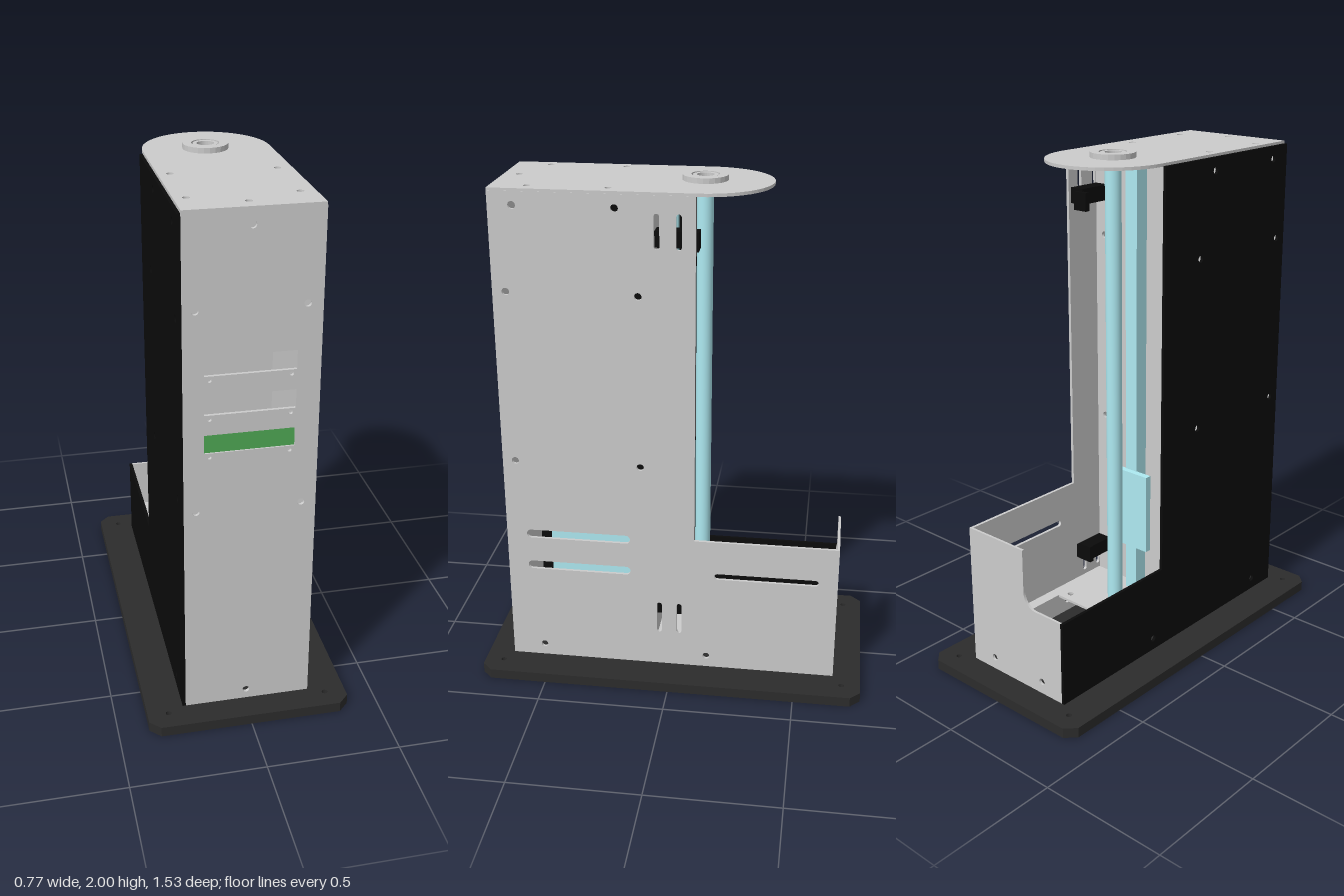
import * as THREE from 'three';

const mat = (color) => new THREE.MeshStandardMaterial({ color });
const GREY = mat(0xcccccc), DARK = mat(0x2c2c2c), BLACK = mat(0x0b0b0b);
const CYAN = mat(0xaeeaf2), GREEN = mat(0x4fa854);

// Hole helpers, in shape coordinates
function hole(x, y, r = 0.013) {
  return new THREE.Path().absarc(x, y, r, 0, Math.PI * 2);
}
function slot(x0, x1, y0, y1) {
  const p = new THREE.Path();
  const r = Math.min(x1 - x0, y1 - y0) / 2;
  if (x1 - x0 > y1 - y0) {
    p.absarc(x1 - r, y0 + r, r, -Math.PI / 2, Math.PI / 2);
    p.absarc(x0 + r, y0 + r, r, Math.PI / 2, Math.PI * 1.5);
  } else {
    p.absarc(x0 + r, y1 - r, r, 0, Math.PI);
    p.absarc(x0 + r, y0 + r, r, Math.PI, Math.PI * 2);
  }
  return p.closePath();
}
const poly = (pts) => pts.map(([x, y]) => new THREE.Vector2(x, y));
const rect = (x0, x1, y0, y1) => poly([[x0, y0], [x1, y0], [x1, y1], [x0, y1]]);
const path = (pts) => new THREE.Path(pts);

export function createModel() {
  const model = new THREE.Group();

  const add = (name, geometry, material, x = 0, y = 0, z = 0) => {
    const m = new THREE.Mesh(geometry, material);
    m.name = name;
    m.position.set(x, y, z);
    model.add(m);
    return m;
  };
  const box = (name, material, x0, x1, y0, y1, z0, z1) =>
    add(name, new THREE.BoxGeometry(x1 - x0, y1 - y0, z1 - z0), material,
      (x0 + x1) / 2, (y0 + y1) / 2, (z0 + z1) / 2);
  const sheet = (shape, holes, depth) => {
    shape.holes.push(...holes);
    return new THREE.ExtrudeGeometry(shape, { depth, bevelEnabled: false, curveSegments: 12 });
  };
  // Upright sheet facing z, shape in (x, y)
  const wall = (name, material, shape, holes, z, t) => add(name, sheet(shape, holes, t), material, 0, 0, z);
  // Upright sheet facing x, shape in (-z, y)
  const side = (name, material, shape, holes, x, t) =>
    add(name, sheet(shape, holes, t).rotateY(Math.PI / 2), material, x);
  // Level sheet, shape in (x, -z)
  const level = (name, material, shape, holes, y, t) =>
    add(name, sheet(shape, holes, t).rotateX(-Math.PI / 2), material, 0, y);

  // Base plate with clipped corners
  const W = 0.385, L = 0.765, c = 0.04;
  const baseHoles = [hole(0, -0.6)];
  for (const s of [-1, 1]) {
    baseHoles.push(hole(s * 0.305, 0.69, 0.011), hole(s * 0.305, -0.69, 0.011), hole(s * 0.155, 0.61));
  }
  level('basePlate', DARK, new THREE.Shape(poly([
    [-W + c, -L], [W - c, -L], [W, -L + c], [W, L - c],
    [W - c, L], [-W + c, L], [-W, L - c], [-W, -L + c]])), baseHoles, 0, 0.04);

  // Side panels, stepped down toward the back
  const sideShape = (step) => new THREE.Shape(poly([
    [-0.66, 0.04], [0.655, 0.04], [0.655, step], [0.09, step], [0.09, 1.97], [-0.66, 1.97]]));
  const screwHoles = () => [[0.57, 1.92], [0.2, 1.92], [0.61, 1.6], [0.12, 1.6],
    [0.61, 0.92], [0.12, 0.92], [0.53, 0.09], [-0.14, 0.09]].map(([z, y]) => hole(-z, y, 0.014));
  const slots = [slot(-0.58, -0.165, 0.445, 0.48), slot(-0.58, -0.165, 0.585, 0.62),
    slot(0.17, 0.58, 0.45, 0.475)];
  for (const x of [-0.05, 0.03]) {
    slots.push(slot(x - 0.01, x + 0.01, 0.19, 0.325), slot(x - 0.01, x + 0.01, 1.775, 1.905));
  }
  side('rightPanel', GREY, sideShape(0.615), [...screwHoles(), ...slots], 0.232, 0.012);
  side('blackSidePanel', BLACK, sideShape(0.38), screwHoles(), -0.246, 0.012);

  // Front panel with three windows
  const frontHoles = [hole(0, 1.92), hole(0, 0.08)];
  for (const y of [1.64, 0.885]) for (const x of [-0.19, 0.19]) frontHoles.push(hole(x, y));
  for (const y of [1.405, 1.26, 1.115]) {
    frontHoles.push(path(rect(-0.16, 0.16, y, y + 0.07)));
    for (const x of [-0.142, 0.142]) frontHoles.push(hole(x, y - 0.015, 0.008));
  }
  wall('frontPanel', GREY, new THREE.Shape(rect(-0.232, 0.232, 0.04, 1.97)), frontHoles, 0.648, 0.012);
  box('greenDisplay', GREEN, -0.16, 0.16, 1.115, 1.185, 0.636, 0.654);

  // Inner upright plate carrying the rail
  const innerHoles = [slot(-0.016, 0.016, 1.285, 1.475), hole(0, 1.92), hole(0, 0.08)];
  for (const y of [1.64, 0.885]) for (const x of [-0.19, 0.19]) innerHoles.push(hole(x, y));
  wall('innerPlate', GREY, new THREE.Shape(rect(-0.232, 0.232, 0.04, 1.97)), innerHoles, 0.063, 0.01);

  // Back panel with a rounded notch
  const back = new THREE.Shape();
  back.moveTo(-0.234, 0.04);
  back.lineTo(0.232, 0.04);
  back.lineTo(0.232, 0.615);
  back.lineTo(-0.045, 0.615);
  back.lineTo(-0.045, 0.44);
  back.absarc(-0.105, 0.44, 0.06, 0, -Math.PI / 2, true);
  back.lineTo(-0.234, 0.38);
  wall('backPanel', GREY, back, [hole(-0.13, 0.09), hole(0.13, 0.09)], -0.655, 0.01);

  // Shelf behind the tower with a clipped opening
  level('rearShelf', GREY, new THREE.Shape(rect(-0.232, 0.232, -0.06, 0.645)), [
    path(poly([[-0.185, 0.24], [0.185, 0.24], [0.185, 0.51], [0.125, 0.57], [-0.125, 0.57], [-0.185, 0.51]])),
    hole(-0.155, 0.61), hole(0.155, 0.61), hole(-0.155, 0.2), hole(0.155, 0.2)], 0.16, 0.01);

  // Top plate with a round overhang
  const top = new THREE.Shape();
  top.moveTo(-0.232, -0.66);
  top.lineTo(0.243, -0.66);
  top.lineTo(0.243, 0.095);
  top.absellipse(0.005, 0.095, 0.238, 0.255, 0, Math.PI, false);
  top.lineTo(-0.233, -0.66);
  const topHoles = [hole(0, -0.6), hole(0, 0.095, 0.05)];
  for (const s of [-1, 1]) topHoles.push(hole(s * 0.19, -0.23), hole(s * 0.19, -0.525));
  level('topPlate', GREY, top, topHoles, 1.968, 0.012);

  // Bearing flange around the rod
  level('bearingCap', GREY, new THREE.Shape().absarc(0, 0.095, 0.085, 0, Math.PI * 2),
    [hole(0, 0.095, 0.052)], 1.98, 0.02);
  level('bearingHub', GREY, new THREE.Shape().absarc(0, 0.095, 0.047, 0, Math.PI * 2),
    [hole(0, 0.095, 0.032)], 1.95, 0.048);
  level('bearingFlange', GREY, new THREE.Shape().absarc(0, 0.095, 0.1, 0, Math.PI * 2),
    [hole(0, 0.095, 0.032)], 1.952, 0.016);

  // Rod, rail, carriage and drive block
  add('rod', new THREE.CylinderGeometry(0.031, 0.031, 1.94, 32), CYAN, 0, 1.01, -0.095);
  box('rail', CYAN, -0.028, 0.028, 0.05, 1.95, 0.005, 0.063);
  box('carriage', CYAN, -0.1, 0.1, 0.38, 0.71, -0.018, 0.008);
  box('driveBlock', CYAN, 0.1, 0.22, 0.36, 0.7, 0.13, 0.485);

  // Limit switches inside the right panel
  for (const [y, dir] of [[1.81, -1], [0.3, 1]]) {
    box('limitSwitch', BLACK, 0.17, 0.23, y - 0.03, y + 0.03, -0.08, 0.06);
    const lever = box('switchLever', BLACK, 0.14, 0.2, -0.035, 0.035, -0.095, -0.075);
    lever.position.y = y + dir * 0.015;
  }
  return model;
}
